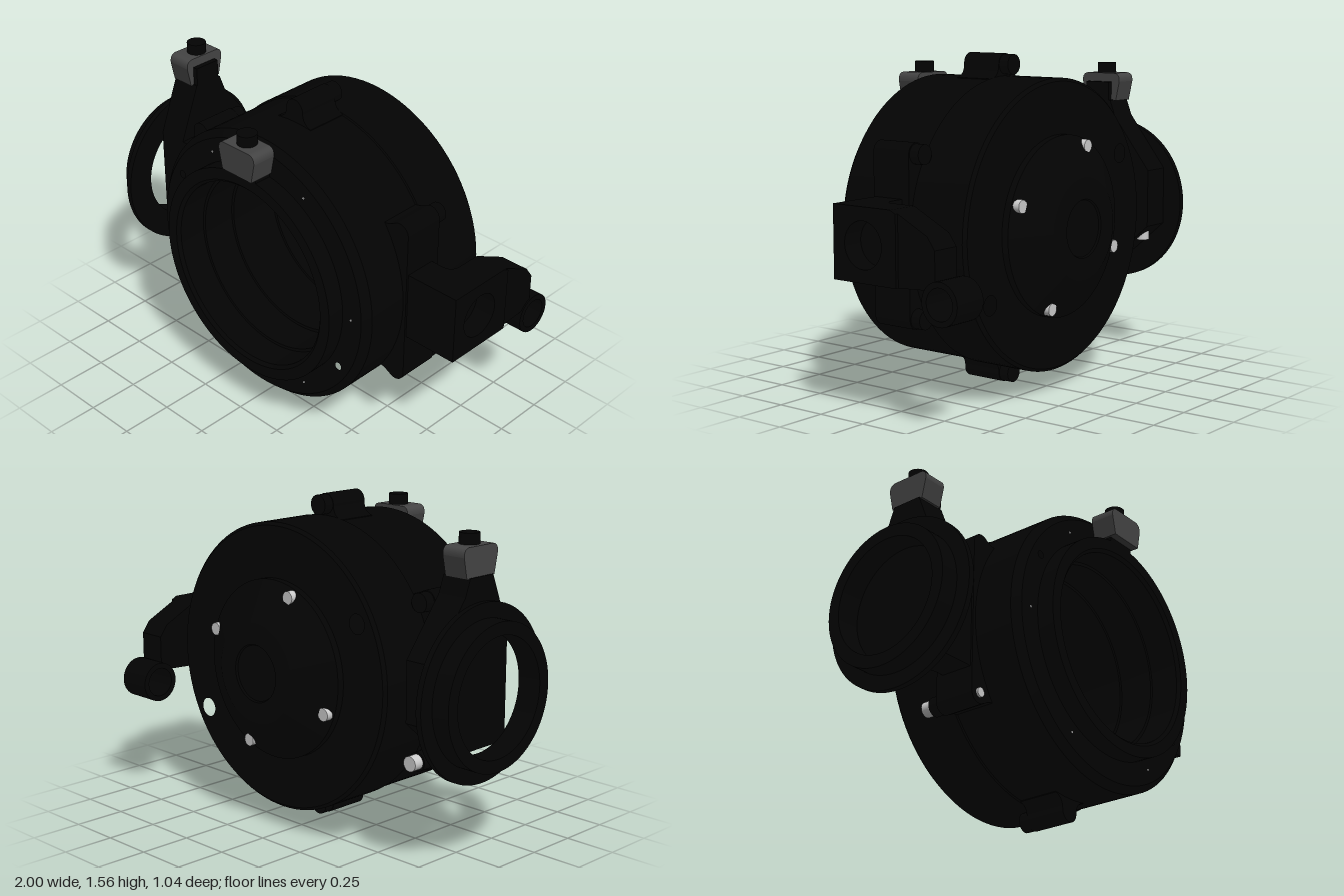
import * as THREE from 'three';
import { toCreasedNormals } from 'three/addons/utils/BufferGeometryUtils.js';

const CX = 0.047, CY = 0.782;
const paint = color => {
  const m = new THREE.MeshStandardMaterial();
  m.color.set(color);
  return m;
};

export function createModel() {
  const root = new THREE.Group();
  const black = paint(0x030303), grey = paint(0x444444), steel = paint(0xcccccc);

  const add = (name, geo, x = 0, y = 0, z = 0, mat = black, parent = root) => {
    const mesh = new THREE.Mesh(geo, mat);
    mesh.name = name;
    mesh.position.set(x, y, z);
    parent.add(mesh);
    return mesh;
  };
  // Profile of [radius, height] pairs turned around the z or x axis
  const turned = (pts, axis = 'z', segs = 96) => {
    const g = new THREE.LatheGeometry(pts.map(p => new THREE.Vector2(...p)), segs);
    if (axis === 'z') g.rotateX(Math.PI / 2);
    if (axis === 'x') g.rotateZ(-Math.PI / 2);
    return toCreasedNormals(g, 0.4);
  };
  const rod = (r, len, axis = 'z', segs = 28) => {
    const g = new THREE.CylinderGeometry(r, r, len, segs);
    if (axis === 'z') g.rotateX(Math.PI / 2);
    return g;
  };
  const box = (name, x0, x1, y0, y1, z0, z1) =>
    add(name, new THREE.BoxGeometry(x1 - x0, y1 - y0, z1 - z0),
      (x0 + x1) / 2, (y0 + y1) / 2, (z0 + z1) / 2);
  const polygon = pts => new THREE.Shape(pts.map(p => new THREE.Vector2(...p)));
  const extrude = (shape, depth) =>
    new THREE.ExtrudeGeometry(shape, { depth, bevelEnabled: false, curveSegments: 24 });
  // Outline drawn in (z, y), filling x0..x1
  const sidePlate = (shape, x0, x1) =>
    extrude(shape, x1 - x0).rotateY(-Math.PI / 2).translate(x1, 0, 0);
  const circle = (x, y, r) => new THREE.Path().absarc(x, y, r, 0, Math.PI * 2, true);
  // Concave upright corner between a neck and a plate, dir = side the plate is on
  const fillet = (name, x, z, dir, y0, y1) => {
    const s = new THREE.Shape();
    s.moveTo(x - dir * 0.055, z + 0.01);
    s.lineTo(x - dir * 0.055, z);
    s.quadraticCurveTo(x, z, x, z - 0.055);
    s.lineTo(x + dir * 0.01, z - 0.055);
    s.lineTo(x + dir * 0.01, z + 0.01);
    add(name, extrude(s, y1 - y0).rotateX(Math.PI / 2), 0, y1, 0);
  };

  // Main drum
  add('drumShell', turned([[0.66, -0.345], [0.675, -0.33], [0.675, -0.04],
    [0.668, -0.035], [0.668, 0.365], [0.635, 0.4]]), CX, CY);

  // End faces pierced by two pairs of aligned holes
  const holes = [Math.PI * 5 / 6, -Math.PI / 6].map(a => [0.58 * Math.cos(a), 0.58 * Math.sin(a)]);
  const face = (outer, inner, holeR, mirror) => {
    const s = new THREE.Shape().absarc(0, 0, outer, 0, Math.PI * 2, false);
    s.holes.push(circle(0, 0, inner));
    holes.forEach(([x, y]) => s.holes.push(circle(mirror * x, y, holeR)));
    return new THREE.ShapeGeometry(s, 96);
  };
  add('frontFace', face(0.635, 0.5, 0.018, 1), CX, CY, 0.4);
  add('backFace', face(0.66, 0.4, 0.045, -1).rotateY(Math.PI), CX, CY, -0.345);

  // Front mount ring running into the stepped, hollow interior
  add('mountAndInterior', turned([[0.525, 0.39], [0.525, 0.485], [0.47, 0.485],
    [0.455, 0.47], [0.455, 0.33], [0.44, 0.33], [0.44, 0.16], [0.425, 0.16], [0.425, -0.1],
    [0.41, -0.1], [0.41, -0.36], [0.285, -0.438], [0.235, -0.468], [0.13, -0.468],
    [0.13, -0.455], [0, -0.455]]), CX, CY);
  // Outer wall of the inner barrel, inside the drum
  add('innerBarrel', turned([[0.5, -0.345], [0.5, 0.4]]), CX, CY);
  // Conical rear cover
  add('rearCover', turned([[0, -0.48], [0.13, -0.48], [0.135, -0.49], [0.235, -0.49],
    [0.42, -0.378], [0.42, -0.34]]), CX, CY);
  for (let i = 0; i < 4; i++) {
    const a = 0.36 + i * Math.PI / 2;
    add('coverScrew', rod(0.03, 0.055), CX + 0.385 * Math.cos(a), CY + 0.385 * Math.sin(a), -0.387, steel);
  }
  for (let i = 0; i < 6; i++) {
    const a = i * Math.PI / 3;
    add('faceScrew', rod(0.005, 0.006, 'z', 10), CX + 0.575 * Math.cos(a), CY + 0.575 * Math.sin(a), 0.4, steel);
  }

  // Top and bottom lugs, flared where they meet the drum
  for (const s of [1, -1]) {
    const lug = new THREE.Shape();
    lug.moveTo(-0.1, 0.63);
    lug.lineTo(0.1, 0.63);
    lug.lineTo(0.1, 0.664);
    lug.quadraticCurveTo(0.05, 0.675, 0.05, 0.728);
    lug.absarc(0, 0.728, 0.05, 0, Math.PI, false);
    lug.quadraticCurveTo(-0.05, 0.675, -0.1, 0.664);
    const m = add('endLug', extrude(lug, 0.205), CX, CY, s > 0 ? -0.04 : 0.165);
    if (s < 0) m.rotation.x = Math.PI;
    add('lugBolt', rod(0.047, 0.06), CX, CY + s * 0.728, -0.06);
  }
  // Flat side pads with rounded corner lugs
  for (const s of [1, -1]) {
    const pad = new THREE.Shape();
    pad.moveTo(0.51, -0.39);
    pad.quadraticCurveTo(0.56, -0.375, 0.59, -0.4);
    pad.absarc(0.633, -0.365, 0.05, -Math.PI * 0.7, 0, false);
    pad.absarc(0.633, 0.365, 0.05, 0, Math.PI * 0.7, false);
    pad.quadraticCurveTo(0.56, 0.375, 0.51, 0.39);
    // Inner edge follows the drum so the holes stay clear
    pad.lineTo(0.53, 0.36);
    pad.absarc(0, 0, 0.64, 0.597, -0.597, true);
    const m = add('sidePad', extrude(pad, 0.205), CX, CY, s > 0 ? -0.04 : 0.165);
    if (s < 0) m.rotation.y = Math.PI;
    for (const t of [1, -1])
      add('padBolt', rod(0.045, 0.06), CX + s * 0.633, CY + t * 0.365, -0.06);
  }
  add('steelPin', rod(0.022, 0.27), -0.586, 0.417, 0.04, steel);
  add('steelPinHead', rod(0.036, 0.06), -0.586, 0.417, -0.11, steel);

  // Left arm: root block, bored block, tail swept backward, eye at the end
  box('armRoot', 0.7, 0.86, 0.62, 0.95, 0, 0.155);
  fillet('armFillet', 0.845, 0, 1, 0.62, 0.95);
  const block = [[-0.2, 0.62], [0.155, 0.62], [0.155, 0.95], [-0.17, 0.95], [-0.2, 0.935]];
  const bored = polygon(block);
  bored.holes.push(circle(-0.015, 0.785, 0.105));
  add('armBlockInner', sidePlate(polygon(block), 0.845, 0.9));
  add('armBlockOuter', sidePlate(bored, 0.9, 1));
  add('armTail', sidePlate(polygon([[-0.19, 0.62], [-0.19, 0.94], [-0.36, 0.855], [-0.4, 0.8],
    [-0.4, 0.665], [-0.36, 0.63]]), 0.845, 0.985));
  add('armEye', turned([[0.07, -0.085], [0.096, -0.085], [0.096, 0.085], [0.07, 0.085], [0.07, -0.085]],
    'x', 40), 0.907, 0.58, -0.428);

  // Right bracket carrying the side ring
  box('bracketNeck', -0.75, -0.6, 0.53, 1.035, -0.005, 0.155);
  fillet('bracketFillet', -0.735, -0.005, -1, 0.53, 1.035);
  add('bracket', sidePlate(polygon([[-0.16, 0.53], [0.155, 0.53], [0.155, 1.035],
    [0.05, 1.3], [-0.1, 1.3], [-0.13, 1.22], [-0.33, 0.96], [-0.33, 0.68]]), -0.885, -0.735));
  box('clampBacking', -0.765, -0.735, 1.28, 1.39, -0.09, 0.045);
  add('bracketScrew', rod(0.034, 0.2, 'y'), -0.807, 0.7, -0.255, steel);
  add('sideRing', turned([[0.275, -0.09], [0.335, -0.09], [0.335, 0], [0.405, 0], [0.405, 0.028],
    [0.275, 0.028], [0.275, -0.09]], 'x'), -0.91, 0.785, -0.025);

  // Clamp blocks with round caps
  const clampShape = new THREE.Shape();
  clampShape.moveTo(-0.09, 0);
  clampShape.lineTo(0.09, 0);
  clampShape.lineTo(0.11, 0.095);
  clampShape.quadraticCurveTo(0.112, 0.137, 0.075, 0.137);
  clampShape.lineTo(-0.075, 0.137);
  clampShape.quadraticCurveTo(-0.112, 0.137, -0.11, 0.095);
  const front = new THREE.Group();
  front.name = 'frontClamp';
  front.position.set(CX, 1.322, 0.4);
  add('clampBlock', extrude(clampShape, 0.12), 0, 0, 0, grey, front);
  add('clampCap', rod(0.046, 0.055, 'y'), 0, 0.16, 0.053, black, front);
  root.add(front);
  const side = front.clone();
  side.name = 'sideClamp';
  side.position.set(-0.76, 1.296, -0.027);
  side.rotation.y = -Math.PI / 2;
  root.add(side);
  // Foot joining the front clamp to the mount ring
  box('clampFoot', CX - 0.08, CX + 0.08, 1.27, 1.325, 0.39, 0.485);

  return root;
}
